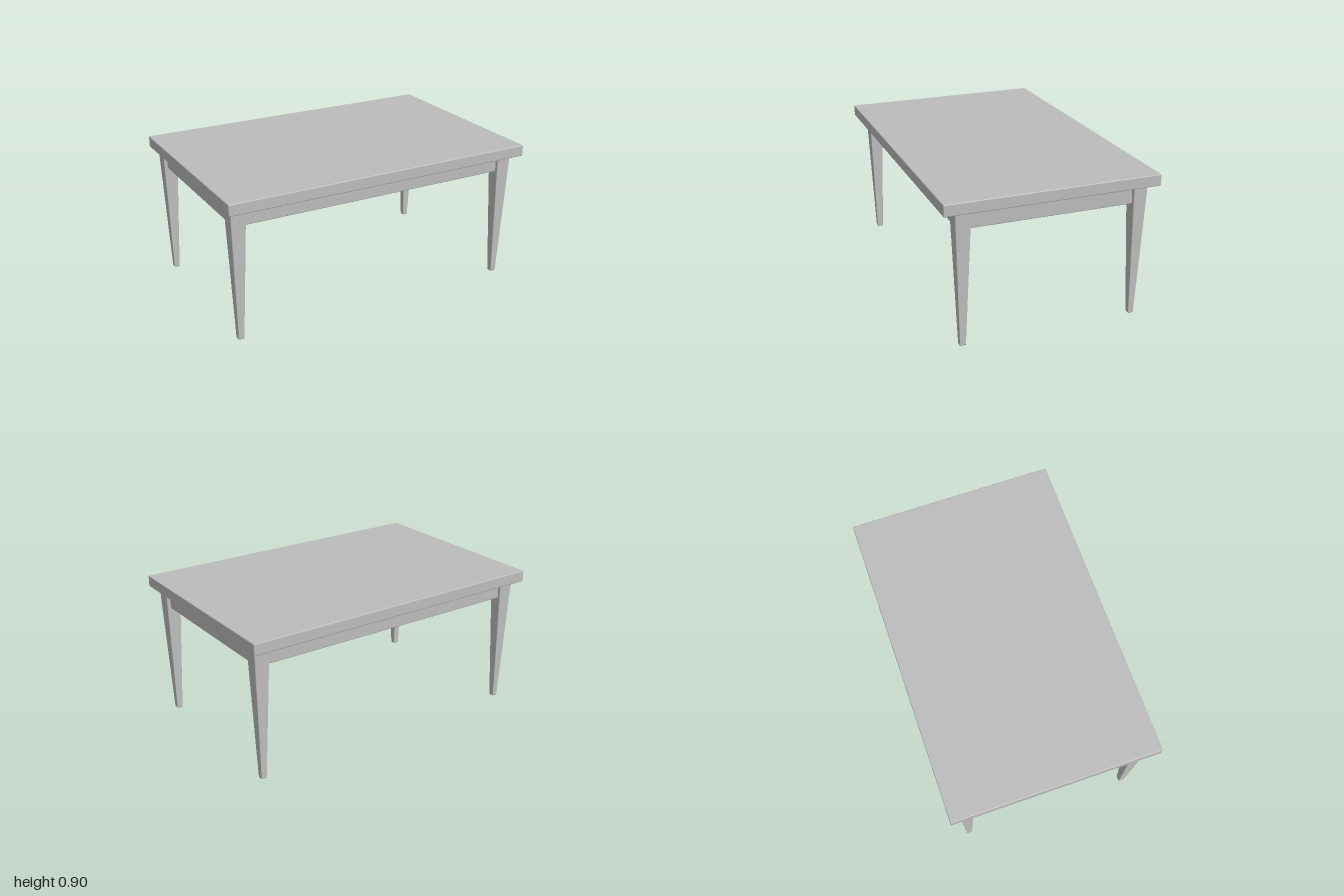
import * as THREE from 'three';
import { RoundedBoxGeometry } from 'three/addons/geometries/RoundedBoxGeometry.js';

const BEVEL = 0.006;
const TOP_Y = 0.904, UNDER_Y = 0.833, APRON_Y = 0.72;
const LEG_X = 0.914, FRONT_Z = 0.531, BACK_Z = -0.545;

export function createModel() {
  const table = new THREE.Group();
  table.name = 'table';
  const grey = new THREE.MeshStandardMaterial({ color: 0xbcbcbc });
  grey.name = 'light grey';

  const add = (name, geometry, x, y, z) => {
    const mesh = new THREE.Mesh(geometry, grey);
    mesh.name = name;
    mesh.position.set(x, y, z);
    table.add(mesh);
  };
  const softBox = (w, h, d) => new RoundedBoxGeometry(w, h, d, 2, BEVEL);

  // Leg: a softened box narrowed evenly towards the floor
  const legGeometry = (width, depth, foot) => {
    const geometry = softBox(width, UNDER_Y, depth);
    const p = geometry.attributes.position;
    for (let i = 0; i < p.count; i++) {
      const t = p.getY(i) / UNDER_Y + 0.5;
      p.setX(i, p.getX(i) * THREE.MathUtils.lerp(foot / width, 1, t));
      p.setZ(i, p.getZ(i) * THREE.MathUtils.lerp(foot / depth, 1, t));
    }
    return geometry;
  };

  // Tabletop
  add('tabletop', softBox(2, TOP_Y - UNDER_Y, 1.306), 0, (TOP_Y + UNDER_Y) / 2, 0);

  // Four tapered legs
  for (const [side, s] of [['left', 1], ['right', -1]]) {
    add(side + 'FrontLeg', legGeometry(0.098, 0.095, 0.036), s * LEG_X, UNDER_Y / 2, FRONT_Z);
    add(side + 'BackLeg', legGeometry(0.098, 0.088, 0.034), s * LEG_X, UNDER_Y / 2, BACK_Z);
  }

  // Aprons running between the legs, set back from their outer faces
  const apronHeight = UNDER_Y - APRON_Y + BEVEL; // top edge sinks into the tabletop
  const apronY = APRON_Y + apronHeight / 2;
  const apronThickness = 0.04;
  add('frontApron', softBox(2 * LEG_X, apronHeight, apronThickness), 0, apronY, FRONT_Z + 0.005);
  add('backApron', softBox(2 * LEG_X, apronHeight, apronThickness), 0, apronY, BACK_Z - 0.003);
  for (const [side, s] of [['left', 1], ['right', -1]]) {
    add(side + 'Apron', softBox(apronThickness, apronHeight, FRONT_Z - BACK_Z),
      s * (LEG_X + 0.003), apronY, (FRONT_Z + BACK_Z) / 2);
  }
  return table;
}
